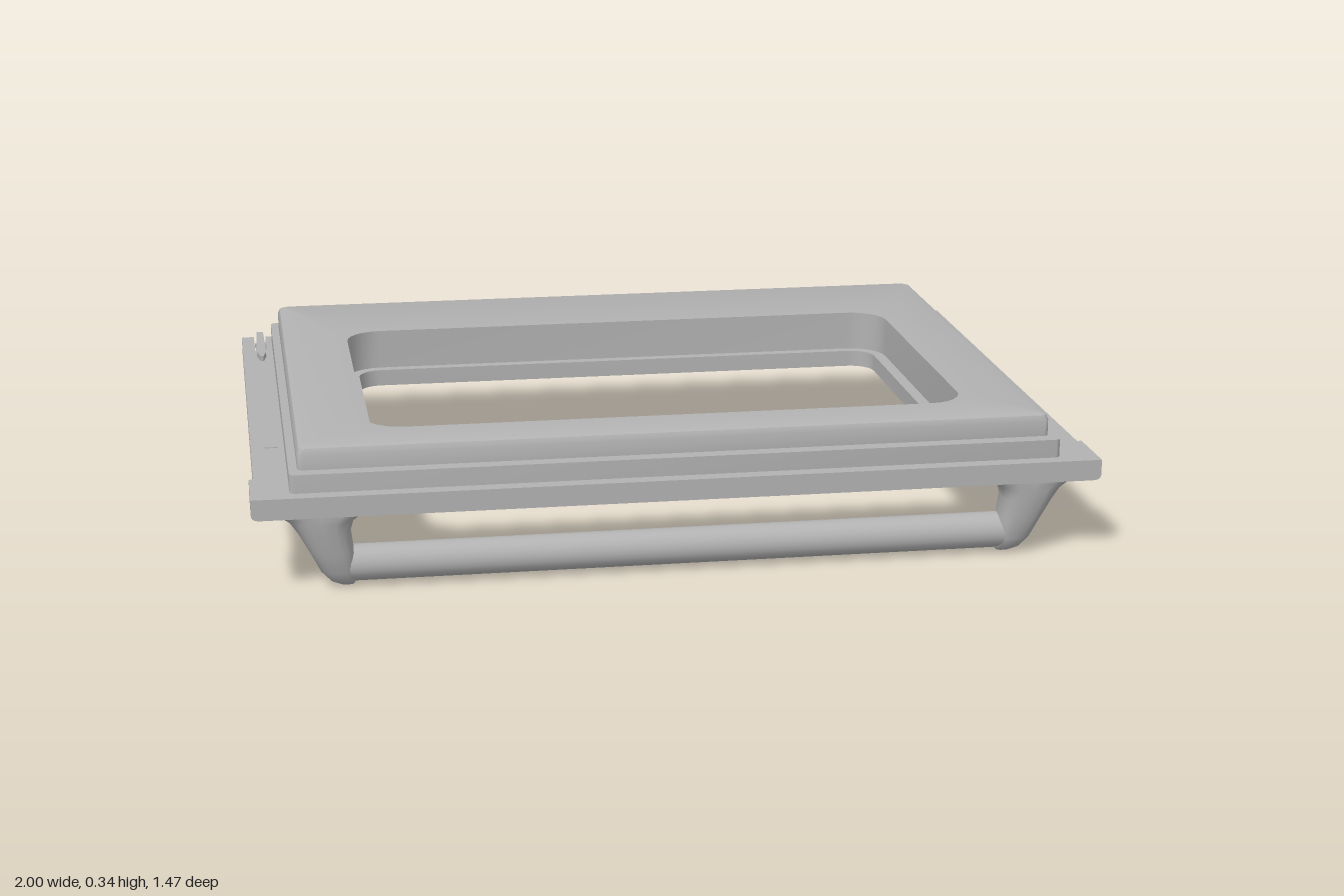
import * as THREE from 'three';
import { toCreasedNormals } from 'three/addons/utils/BufferGeometryUtils.js';

// Skin a stack of equal-length closed loops, listed from the bottom up and then inward.
function loft(loops, crease) {
  const n = loops[0].length, pos = [], index = [];
  loops.forEach(loop => loop.forEach(p => pos.push(...p)));
  for (let k = 0; k < loops.length - 1; k++) {
    for (let i = 0; i < n; i++) {
      const j = (i + 1) % n, a = k * n + i, b = k * n + j, c = a + n, d = b + n;
      index.push(a, c, b, b, c, d);
    }
  }
  const g = new THREE.BufferGeometry();
  g.setAttribute('position', new THREE.Float32BufferAttribute(pos, 3));
  g.setIndex(index);
  return toCreasedNormals(g, crease);
}

// Rounded rectangle lying flat at height y.
function roundedLoop(hx, z0, z1, r, y, steps = 6) {
  const pts = [];
  const corners = [[hx - r, z1 - r], [-hx + r, z1 - r], [-hx + r, z0 + r], [hx - r, z0 + r]];
  corners.forEach(([cx, cz], q) => {
    for (let i = 0; i <= steps; i++) {
      const t = (q + i / steps) * Math.PI / 2;
      pts.push([cx + r * Math.cos(t), y, cz + r * Math.sin(t)]);
    }
  });
  return pts;
}

// Boxy oval section of a handle leg.
function legLoop(side, [y, x0, x1, z0, z1]) {
  const pts = [], n = 20;
  const soft = v => Math.sign(v) * Math.abs(v) ** 0.7;
  for (let i = 0; i < n; i++) {
    const t = i / n * Math.PI * 2;
    pts.push([
      side * (x0 + x1) / 2 + (x1 - x0) / 2 * soft(Math.cos(t)), y,
      (z0 + z1) / 2 + (z1 - z0) / 2 * soft(Math.sin(t)),
    ]);
  }
  return pts;
}

export function createModel() {
  const door = new THREE.Group();
  door.name = 'ovenDoor';
  const steel = new THREE.MeshStandardMaterial({ color: 0xb2b2b2 });
  steel.name = 'greySteel';

  const add = (name, geometry, x = 0, y = 0, z = 0) => {
    const mesh = new THREE.Mesh(geometry, steel);
    mesh.name = name;
    mesh.position.set(x, y, z);
    door.add(mesh);
    return mesh;
  };
  const box = (name, w, h, d, x, y, z) => add(name, new THREE.BoxGeometry(w, h, d), x, y, z);

  // Outer plate with hinge slots in the back edge and a window opening
  const outline = [
    [-0.99, -0.735], [-0.957, -0.735], [-0.957, -0.59], [-0.926, -0.59], [-0.926, -0.735],
    [0.926, -0.735], [0.926, -0.59], [0.957, -0.59], [0.957, -0.735], [0.99, -0.735],
    [0.99, 0.73], [-0.99, 0.73],
  ];
  const plate = new THREE.Shape(outline.map(p => new THREE.Vector2(...p)));
  const opening = roundedLoop(0.693, -0.335, 0.505, 0.06, 0).map(p => new THREE.Vector2(p[0], p[2]));
  plate.holes.push(new THREE.Path(opening));
  const plateGeo = new THREE.ExtrudeGeometry(plate, { depth: 0.042, bevelEnabled: false });
  plateGeo.rotateX(Math.PI / 2);
  add('outerPlate', toCreasedNormals(plateGeo, 0.5), 0, 0.235, 0);

  // Stepped inner frame with a rounded rim and a wider window recess
  add('innerFrame', loft([
    roundedLoop(0.91, -0.705, 0.7, 0.015, 0.235),
    roundedLoop(0.91, -0.705, 0.7, 0.015, 0.28),
    roundedLoop(0.89, -0.685, 0.665, 0.015, 0.28),
    roundedLoop(0.89, -0.685, 0.665, 0.015, 0.318),
    roundedLoop(0.885, -0.68, 0.66, 0.015, 0.33),
    roundedLoop(0.873, -0.668, 0.648, 0.015, 0.335),
    roundedLoop(0.722, -0.362, 0.535, 0.09, 0.335),
    roundedLoop(0.722, -0.362, 0.535, 0.09, 0.235),
  ], 0.6));

  // Front rail with softened lower ends
  const rail = new THREE.Shape();
  rail.moveTo(-1, 0.236);
  rail.lineTo(-1, 0.2);
  rail.quadraticCurveTo(-1, 0.186, -0.98, 0.186);
  rail.lineTo(0.98, 0.186);
  rail.quadraticCurveTo(1, 0.186, 1, 0.2);
  rail.lineTo(1, 0.236);
  const railGeo = new THREE.ExtrudeGeometry(rail, { depth: 0.158, bevelEnabled: false, curveSegments: 5 });
  add('frontRail', toCreasedNormals(railGeo, 0.5), 0, 0, 0.577);

  // Handle bar
  const bar = new THREE.CylinderGeometry(0.043, 0.043, 1.56, 24);
  bar.rotateZ(Math.PI / 2);
  add('handleBar', bar, 0, 0.052, 0.663);

  // Leg sections: height, inner x, outer x, back z, front z
  const sections = [
    [0, 0.785, 0.785, 0.66, 0.66],
    [0.003, 0.767, 0.8, 0.645, 0.678],
    [0.015, 0.762, 0.823, 0.629, 0.696],
    [0.04, 0.762, 0.845, 0.62, 0.709],
    [0.09, 0.767, 0.87, 0.62, 0.72],
    [0.14, 0.773, 0.896, 0.623, 0.73],
    [0.168, 0.765, 0.915, 0.625, 0.734],
    [0.181, 0.745, 0.935, 0.625, 0.735],
    [0.19, 0.72, 0.975, 0.625, 0.735],
  ];
  for (const side of [1, -1]) {
    const hand = side > 0 ? 'left' : 'right';
    add(hand + 'HandleLeg', loft(sections.map(s => legLoop(side, s)), 0.8));

    // Hinge arm sitting in its slot, with a tapered tip and a pin
    const arm = new THREE.Shape();
    arm.moveTo(-0.009, -0.735);
    arm.lineTo(0.009, -0.735);
    arm.lineTo(0.012, -0.58);
    arm.lineTo(0.012, -0.52);
    arm.lineTo(0.004, -0.475);
    arm.lineTo(-0.004, -0.475);
    arm.lineTo(-0.012, -0.52);
    arm.lineTo(-0.012, -0.58);
    const armGeo = new THREE.ExtrudeGeometry(arm, { depth: 0.034, bevelEnabled: false });
    armGeo.rotateX(Math.PI / 2);
    add(hand + 'HingeArm', armGeo, side * 0.941, 0.249, 0);
    box(hand + 'HingePin', 0.03, 0.012, 0.012, side * 0.941, 0.238, -0.63);

    // Small latch pad
    box(hand + 'LatchPad', 0.03, 0.004, 0.04, side * 0.941, 0.235, 0.31);
  }
  return door;
}
